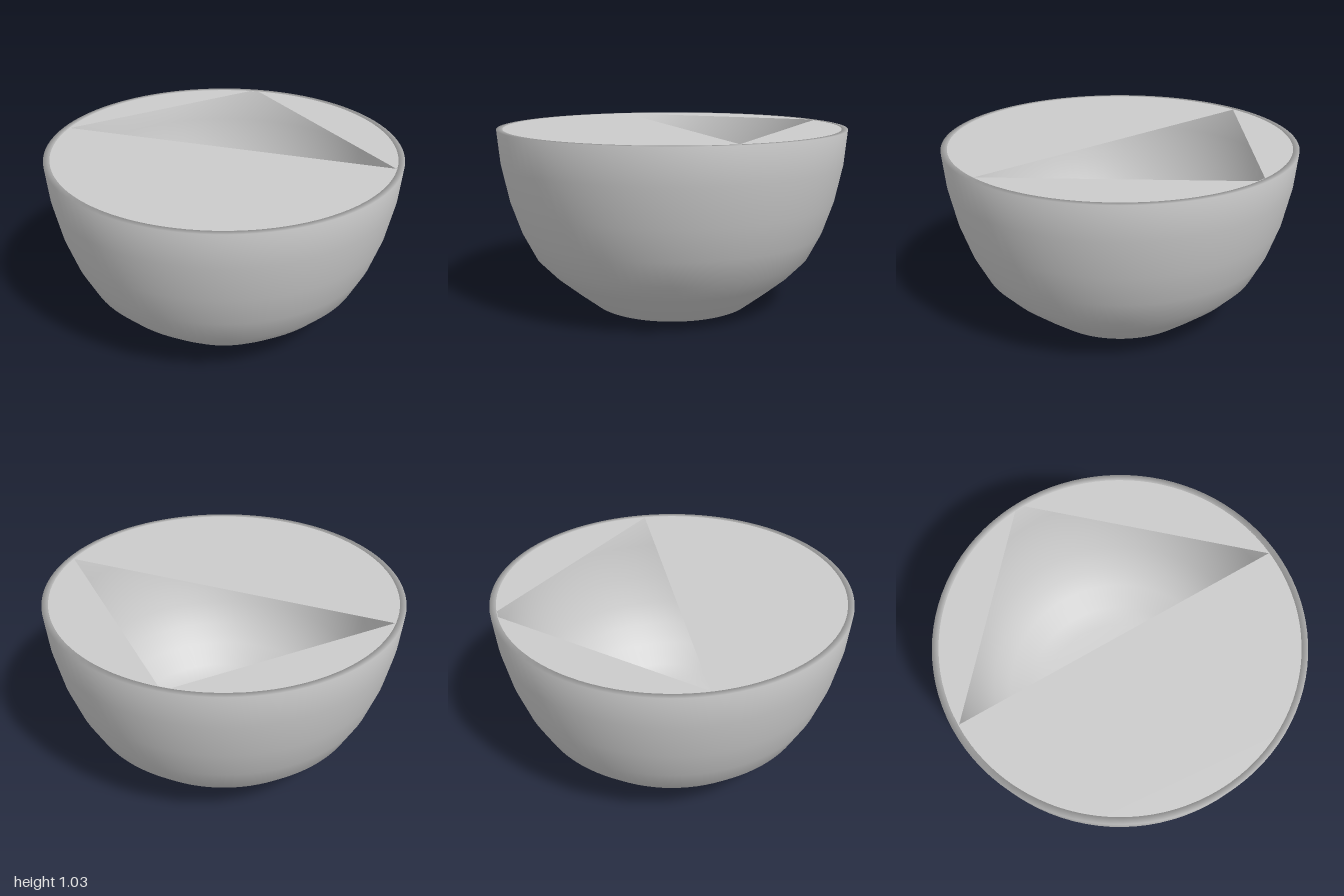
import * as THREE from 'three';

const SEGMENTS = 96;
const RIM_Y = 1.035;
const INNER_R = 0.965;

export function createModel() {
  const model = new THREE.Group();
  const material = new THREE.MeshStandardMaterial({ color: 0xcccccc, side: THREE.DoubleSide });

  // Bowl wall: base, outer side, rim and inner side in one smooth profile
  const profile = [
    [0, 0], [0.44, 0], [0.47, 0.005], [0.59, 0.1], [0.71, 0.2], [0.805, 0.3],
    [0.88, 0.45], [0.94, 0.63], [0.983, 0.84], [1, RIM_Y],
    [INNER_R, RIM_Y], [0.948, 0.84], [0.905, 0.64], [0.845, 0.465],
    [0.775, 0.325], [0.685, 0.23], [0.57, 0.13], [0.48, 0.04], [0, 0.035],
  ].map(([r, y]) => new THREE.Vector2(r, y));
  const bowl = new THREE.Mesh(new THREE.LatheGeometry(profile, SEGMENTS), material);
  bowl.name = 'bowl';
  model.add(bowl);

  // Flat sheet across the mouth, with a triangular opening (shape y is -z)
  const sheet = new THREE.Shape();
  sheet.absarc(0, 0, INNER_R, 0, Math.PI * 2, false);
  sheet.holes.push(new THREE.Path([
    [-0.96, 0], [-0.12, 0.955], [-0.06, 0.96], [0.96, 0],
  ].map(([x, y]) => new THREE.Vector2(x, y))));
  const cover = new THREE.Mesh(new THREE.ShapeGeometry(sheet, SEGMENTS), material);
  cover.name = 'mouthCover';
  cover.rotation.x = -Math.PI / 2;
  cover.position.y = RIM_Y;
  model.add(cover);

  return model;
}
